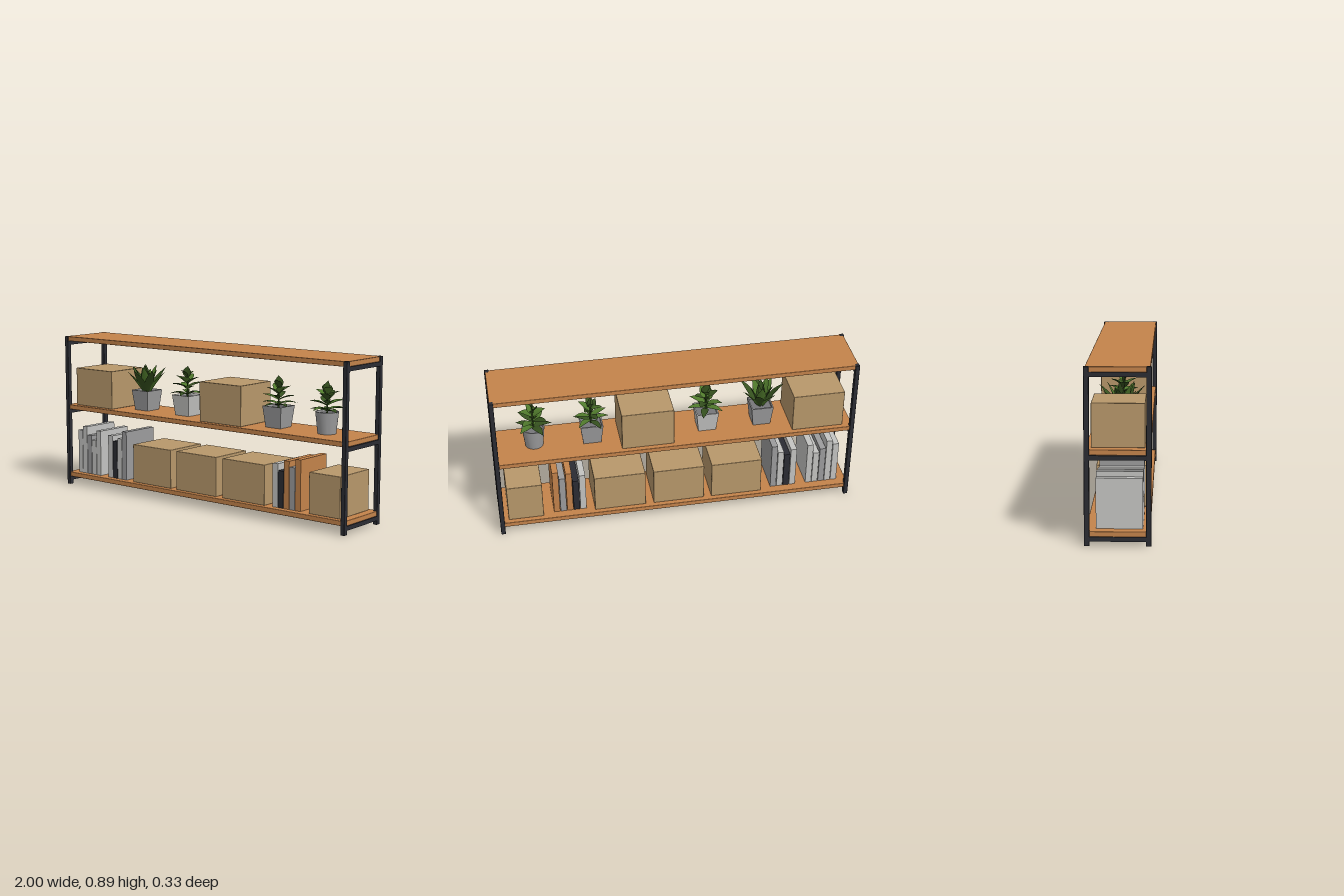
import * as THREE from 'three';
import { toCreasedNormals } from 'three/addons/utils/BufferGeometryUtils.js';
import { RoundedBoxGeometry } from 'three/addons/geometries/RoundedBoxGeometry.js';

const material = (name, color, side = THREE.FrontSide) =>
  Object.assign(new THREE.MeshStandardMaterial({ color, side }), { name });

const mats = {
  wood: material('wood', 0xc4834b),
  metal: material('dark metal', 0x2b2c33),
  card: material('cardboard', 0xb8986b),
  light: material('light grey', 0xc4c4c2),
  mid: material('mid grey', 0x9c9c9d),
  soil: material('gravel', 0x77777a),
  leaf: material('leaf green', 0x507a2c, THREE.DoubleSide),
  darkLeaf: material('dark leaf green', 0x36521f, THREE.DoubleSide),
};

function add(parent, name, geometry, mat, x = 0, y = 0, z = 0) {
  const mesh = new THREE.Mesh(geometry, mat);
  mesh.name = name;
  mesh.position.set(x, y, z);
  parent.add(mesh);
  return mesh;
}

// Box given by its limits on each axis
function block(parent, name, mat, x0, x1, y0, y1, z0, z1, radius = 0) {
  const size = [x1 - x0, y1 - y0, z1 - z0];
  const geometry = radius ? new RoundedBoxGeometry(...size, 2, radius) : new THREE.BoxGeometry(...size);
  return add(parent, name, geometry, mat, (x0 + x1) / 2, (y0 + y1) / 2, (z0 + z1) / 2);
}

// Pointed leaf that grows along +z, folded on its midrib and bending from one pitch to another
function leafGeometry(length, width, pitch, endPitch) {
  const rows = 7;
  const geometry = new THREE.PlaneGeometry(1, 1, 2, rows);
  const pos = geometry.attributes.position;
  const spine = [[0, 0]];
  for (let i = 0; i < rows; i++) {
    const a = THREE.MathUtils.lerp(pitch, endPitch, (i + 0.5) / rows);
    const [z, y] = spine[i];
    spine.push([z + Math.cos(a) * length / rows, y + Math.sin(a) * length / rows]);
  }
  for (let i = 0; i < pos.count; i++) {
    const row = Math.round((pos.getY(i) + 0.5) * rows);
    const t = row / rows;
    const a = THREE.MathUtils.lerp(pitch, endPitch, t);
    const half = width * (0.06 * (1 - t) + 0.48 * Math.sin(Math.PI * Math.pow(t, 0.85)));
    const side = pos.getX(i) * 2;
    const lift = Math.abs(side) * half * 0.35;
    pos.setXYZ(i, -side * half, spine[row][1] + lift * Math.cos(a), spine[row][0] - lift * Math.sin(a));
  }
  geometry.computeVertexNormals();
  return geometry;
}

// Tapered pot with a rim and gravel, round or square
function addPot(plant, square, mat) {
  const k = square ? Math.SQRT2 : 1;
  const sides = square ? 4 : 28;
  const start = square ? Math.PI / 4 : 0;
  const profile = [[0, 0], [0.049, 0], [0.062, 0.116], [0.055, 0.116], [0.053, 0.098]]
    .map(([r, y]) => new THREE.Vector2(r * k, y));
  add(plant, 'pot', toCreasedNormals(new THREE.LatheGeometry(profile, sides, start), 0.6), mat);
  const soil = new THREE.CircleGeometry(0.0545 * k, sides, start);
  add(plant, 'gravel', soil.rotateX(-Math.PI / 2), mats.soil, 0, 0.104, 0);
}

function addLeaf(plant, index, y, yaw, ...shape) {
  const mat = index % 2 ? mats.leaf : mats.darkLeaf;
  add(plant, 'leaf', leafGeometry(...shape), mat, 0, y, 0).rotation.y = yaw;
}

// Stemmed plant: whorls of leaves, flat at the bottom and upright at the top
function leafyPlant(plant, turn, leafWidth) {
  add(plant, 'stem', new THREE.CylinderGeometry(0.003, 0.005, 0.125, 8), mats.darkLeaf, 0, 0.16, 0);
  // height, count, length, width factor, pitch, end pitch
  const whorls = [
    [0.115, 5, 0.105, 0.8, 0.35, -0.25],
    [0.145, 4, 0.1, 0.9, 0.5, 0.1],
    [0.175, 4, 0.085, 1, 0.75, 0.35],
    [0.205, 2, 0.06, 0.95, 1.0, 0.7],
    [0.212, 1, 0.066, 1.1, 1.45, 1.55],
  ];
  whorls.forEach(([y, count, length, width, pitch, end], w) => {
    for (let i = 0; i < count; i++) {
      const yaw = turn + w * 0.75 + (i * Math.PI * 2) / count;
      addLeaf(plant, i + w, y + (i % 2) * 0.008, yaw, length, leafWidth * width, pitch, end);
    }
  });
}

// Stemless plant: broad upright blades fanning out from the pot
function bladePlant(plant) {
  const rings = [[3, 0.165, 1.4, 1.5], [5, 0.17, 1.2, 1.15], [7, 0.175, 1.0, 0.85]];
  rings.forEach(([count, length, pitch, end], r) => {
    for (let i = 0; i < count; i++) {
      const yaw = r * 0.5 + (i * Math.PI * 2) / count;
      addLeaf(plant, i + r, 0.1, yaw, length * (1 - 0.12 * (i % 2)), 0.052, pitch, end);
      plant.children.at(-1).translateZ(0.01 * r);
    }
  });
}

export function createModel() {
  const model = new THREE.Group();
  model.name = 'shelfUnit';

  // Frame: four posts and three rails at each end
  for (const s of [-1, 1]) {
    for (const f of [-1, 1]) {
      block(model, 'post', mats.metal, s * 0.9875 - 0.0125, s * 0.9875 + 0.0125, 0, 0.89,
        f * 0.152 - 0.0135, f * 0.152 + 0.0135, 0.004);
    }
    for (const y of [0.024, 0.431, 0.839]) {
      block(model, 'endRail', mats.metal, s * 0.9875 - 0.012, s * 0.9875 + 0.012, y, y + 0.023, -0.142, 0.142);
    }
  }

  // Shelf boards
  for (const y of [0.047, 0.455, 0.862]) {
    block(model, 'shelf', mats.wood, -0.996, 0.996, y, y + 0.027, -0.159, 0.159, 0.003);
  }

  // Cardboard boxes: left edge, right edge, base height
  const boxes = [
    [-0.94, -0.652, 0.482], [0.014, 0.302, 0.482],
    [-0.488, -0.2, 0.074], [-0.157, 0.131, 0.074], [0.177, 0.465, 0.074], [0.754, 0.95, 0.074],
  ];
  for (const [x0, x1, y] of boxes) {
    block(model, 'storageBox', mats.card, x0, x1, y, y + 0.221, -0.133, 0.133, 0.003);
  }

  // Books: start of each row, then top height and colour of each
  const { light, mid, metal, wood } = mats;
  const rows = [
    [-0.941, [[0.33, light], [0.355, light], [0.305, mid], [0.28, light], [0.34, light]]],
    [-0.696, [[0.323, light], [0.292, metal], [0.313, light], [0.358, mid]]],
    [0.511, [[0.31, light], [0.275, metal], [0.333, wood], [0.302, mid], [0.349, wood]]],
  ];
  for (const [start, books] of rows) {
    books.forEach(([top, mat], i) => {
      const x = start + i * 0.0373;
      block(model, 'book', mat, x, x + 0.034, 0.074, top, -0.11, 0.123);
    });
  }

  // Potted plants
  const plants = [
    ['bladePlant', -0.497, true, mid, (p) => bladePlant(p)],
    ['leafyPlant', -0.187, true, light, (p) => leafyPlant(p, 0.3, 0.05)],
    ['leafyPlant', 0.455, true, mid, (p) => leafyPlant(p, 1.1, 0.044)],
    ['leafyPlant', 0.77, false, mid, (p) => leafyPlant(p, 4.85, 0.056)],
  ];
  for (const [name, x, square, potMat, grow] of plants) {
    const plant = new THREE.Group();
    plant.name = name;
    plant.position.set(x, 0.482, 0);
    addPot(plant, square, potMat);
    grow(plant);
    model.add(plant);
  }
  return model;
}
